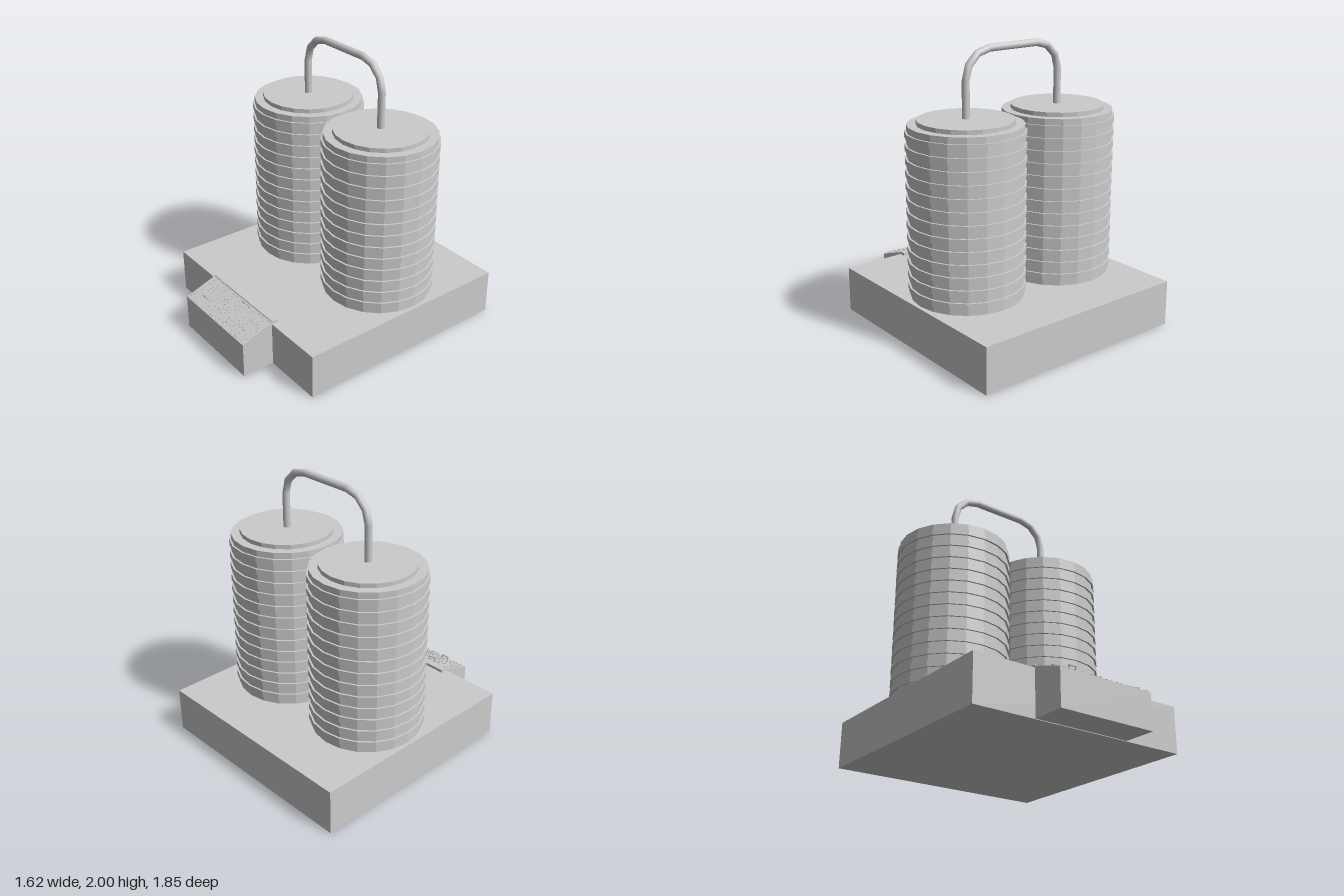
import * as THREE from 'three';
import { mergeGeometries } from 'three/addons/utils/BufferGeometryUtils.js';

const flat = new THREE.MeshStandardMaterial({ color: 0xcccccc, flatShading: true });
const smooth = new THREE.MeshStandardMaterial({ color: 0xcccccc });

function add(parent, name, geometry, material = flat, x = 0, y = 0, z = 0) {
  const mesh = new THREE.Mesh(geometry, material);
  mesh.name = name;
  mesh.position.set(x, y, z);
  parent.add(mesh);
  return mesh;
}

const box = (w, h, d, x, y, z) => new THREE.BoxGeometry(w, h, d).translate(x, y, z);

// Ribbed stack with a narrower cap, turned as one stepped profile
function tankGeometry() {
  const bands = 27, bottom = 0.325, top = 1.505, step = (top - bottom) / bands;
  const profile = [[0, bottom]];
  for (let i = 0; i < bands; i++) {
    const r = i % 2 ? 0.4 : 0.387;
    profile.push([r, bottom + i * step], [r, bottom + (i + 1) * step]);
  }
  profile.push([0.325, top], [0.325, 1.535], [0, 1.535]);
  return new THREE.LatheGeometry(profile.map(p => new THREE.Vector2(...p)), 20);
}

// Connecting pipe: two risers, two three-segment elbows and a crossbar
function buildPipe() {
  const pipe = new THREE.Group();
  pipe.name = 'connectingPipe';
  pipe.position.z = -0.195;
  const r = 0.026, bend = 0.195, elbowY = 1.779;
  for (const side of [-1, 1]) {
    const riser = new THREE.CylinderGeometry(r, r, elbowY - 1.52, 12, 1, true);
    add(pipe, 'pipeRiser', riser, smooth, side * 0.395, (elbowY + 1.52) / 2);
    const elbow = new THREE.TorusGeometry(bend, r, 12, 3, Math.PI / 2);
    if (side < 0) elbow.rotateY(Math.PI);
    add(pipe, 'pipeElbow', elbow, smooth, side * 0.2, elbowY);
  }
  const bar = new THREE.CylinderGeometry(r, r, 0.4, 12, 1, true).rotateZ(Math.PI / 2);
  add(pipe, 'pipeCrossbar', bar, smooth, 0, elbowY + bend);
  return pipe;
}

// Desk with a sloping face carrying buttons, sliders and small handles
function buildConsole() {
  const desk = new THREE.Group();
  desk.name = 'controlConsole';
  const back = [0.69, 0.338], front = [0.925, 0.258];
  const side = new THREE.Shape(
    [[0.64, 0.004], [0.925, 0.004], front, back, [0.685, 0.346], [0.64, 0.346]]
      .map(p => new THREE.Vector2(...p)));
  const body = new THREE.ExtrudeGeometry(side, { depth: 0.72, bevelEnabled: false });
  body.rotateY(-Math.PI / 2).translate(0.36, 0, 0);
  add(desk, 'consoleBody', body);

  // Local frame of the slope: z runs down it, y points out of it
  const panel = new THREE.Group();
  panel.name = 'controlPanel';
  panel.position.set(0, back[1], back[0]);
  panel.rotation.x = Math.atan2(back[1] - front[1], front[0] - back[0]);
  desk.add(panel);

  let seed = 7;
  const random = () => (seed = (seed * 16807) % 2147483647) / 2147483647;
  const sliderSpots = [];
  for (const z of [0.01, 0.085, 0.165, 0.232]) sliderSpots.push([-0.07, z], [0.24, z]);
  sliderSpots.push([0.09, 0.165], [0.09, 0.2]);
  const handleSpots = [[-0.21, 0.004, 0.052], [0.088, 0.02, 0.068], [-0.21, 0.168, 0.052]];

  // Rows of little buttons, leaving room for the larger controls
  const buttons = [];
  for (let row = 0; row < 12; row++) {
    for (let col = 0; col < 32; col++) {
      const x = -0.34 + col * 0.0219, z = 0.008 + row * 0.0208;
      const taken = [...sliderSpots, ...handleSpots]
        .some(s => Math.abs(x - s[0]) < 0.045 && Math.abs(z - s[1]) < 0.011);
      if (taken || random() < 0.4) continue;
      buttons.push(box(0.009, 0.006, 0.007, x, 0.001, z));
    }
  }
  add(panel, 'buttons', mergeGeometries(buttons));

  const sliders = sliderSpots.map(([x, z]) => mergeGeometries([
    box(0.07, 0.006, 0.006, x, 0.002, z),
    box(0.008, 0.011, 0.012, x + 0.03, 0.003, z),
  ]));
  add(panel, 'sliders', mergeGeometries(sliders));

  for (const [x, z, w] of handleSpots) {
    const t = 0.007, h = 0.034;
    add(panel, 'panelHandle', mergeGeometries([
      box(t, h, t, x - w / 2, h / 2, z),
      box(t, h, t, x + w / 2, h / 2, z),
      box(w + t, t, t * 1.5, x, h, z),
    ]));
  }
  return desk;
}

export function createModel() {
  const model = new THREE.Group();
  model.name = 'twinTankStation';
  add(model, 'basePlinth', new THREE.BoxGeometry(1.615, 0.325, 1.615), flat, 0, 0.1625, -0.118);
  const tank = tankGeometry();
  add(model, 'rightTank', tank, flat, -0.397, 0, -0.197);
  add(model, 'leftTank', tank, flat, 0.397, 0, -0.197);
  model.add(buildPipe(), buildConsole());
  return model;
}
